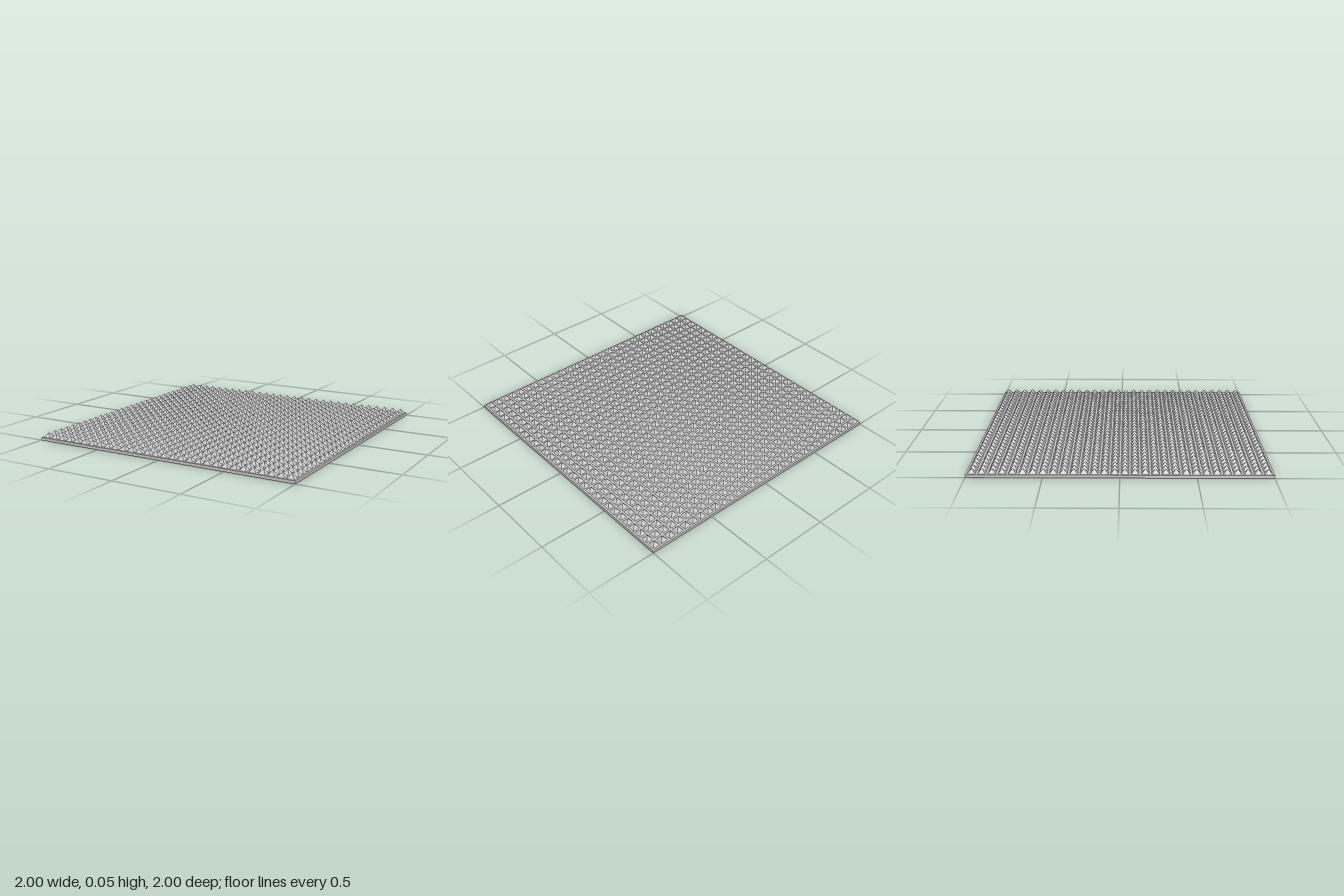
import * as THREE from 'three';
import { mergeGeometries } from 'three/addons/utils/BufferGeometryUtils.js';

const COUNT = 30;       // studs per side
const PITCH = 0.0663;   // distance between stud centres
const STUD = 0.052;     // stud base width
const STUD_H = 0.033;
const PLATE_H = 0.02;

export function createModel() {
  const group = new THREE.Group();
  group.name = 'studdedMat';
  const material = new THREE.MeshStandardMaterial({ color: 0xcccccc, flatShading: true });

  // Thin square base plate
  const plate = new THREE.Mesh(new THREE.BoxGeometry(2, PLATE_H, 2), material);
  plate.name = 'basePlate';
  plate.position.y = PLATE_H / 2;
  group.add(plate);

  // One square pyramid, sides parallel to the plate edges
  const pyramid = new THREE.ConeGeometry(STUD / Math.SQRT2, STUD_H, 4, 1, true)
    .rotateY(Math.PI / 4)
    .translate(0, PLATE_H + STUD_H / 2, 0);

  // One row of pyramids per mesh, sharing the same geometry
  const offset = (i) => (i - (COUNT - 1) / 2) * PITCH;
  const studs = [];
  for (let i = 0; i < COUNT; i++) studs.push(pyramid.clone().translate(offset(i), 0, 0));
  const rowGeometry = mergeGeometries(studs);

  for (let j = 0; j < COUNT; j++) {
    const row = new THREE.Mesh(rowGeometry, material);
    row.name = `pyramidRow${j + 1}`;
    row.position.z = offset(j);
    group.add(row);
  }
  return group;
}
